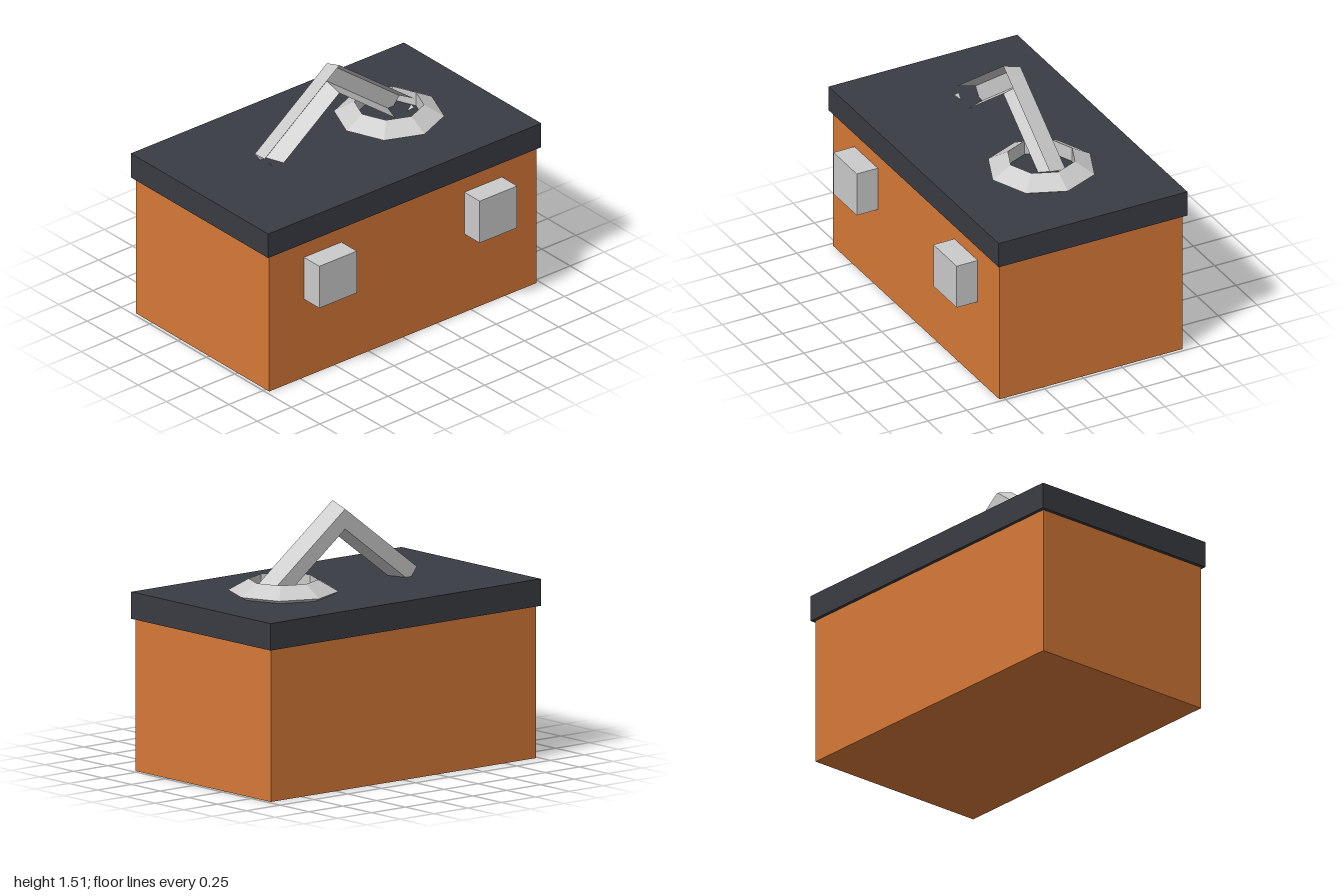
import * as THREE from 'three';

export function createModel() {
  const model = new THREE.Group();
  const wood = new THREE.MeshStandardMaterial({ color: 0xd77937, flatShading: true });
  const dark = new THREE.MeshStandardMaterial({ color: 0x393c43, flatShading: true });
  const metal = new THREE.MeshStandardMaterial({ color: 0xcccccc, flatShading: true });
  const sheet = new THREE.MeshStandardMaterial({ color: 0xcccccc, flatShading: true, side: THREE.DoubleSide });

  const add = (name, geometry, material) => {
    const mesh = new THREE.Mesh(geometry, material);
    mesh.name = name;
    model.add(mesh);
    return mesh;
  };
  const box = (name, material, [x0, y0, z0], [x1, y1, z1]) =>
    add(name, new THREE.BoxGeometry(x1 - x0, y1 - y0, z1 - z0), material)
      .position.set((x0 + x1) / 2, (y0 + y1) / 2, (z0 + z1) / 2);

  // Box body and overhanging lid
  box('body', wood, [-0.98, 0, -0.645], [0.98, 0.88, 0.53]);
  box('lid', dark, [-1, 0.875, -0.665], [1, 1.03, 0.545]);

  // Front latches
  box('leftLatch', metal, [0.45, 0.505, 0.52], [0.725, 0.775, 0.665]);
  box('rightLatch', metal, [-0.725, 0.505, 0.52], [-0.45, 0.775, 0.665]);

  // Eight-sided ring of triangular section lying on the lid
  const ring = add('ring', new THREE.TorusGeometry(0.2355, 0.077, 3, 8), metal);
  ring.rotation.x = -Math.PI / 2;
  ring.position.set(0.39, 1.05, -0.0615);

  // Peaked handle: a bent channel, open at the front.
  // Each section point is [drop below the ridge, z].
  const section = [[0, -0.03], [0.035, -0.14], [0.15, -0.14], [0.18, -0.03]];
  const stations = [-1, 0, 1].map((side) => section.map(([drop, z]) => side === 0
    ? [0, 1.515 - drop, z]
    : [side * (0.547 - 0.48 * drop), 1.105 - 0.64 * drop, z]));
  const points = [];
  for (let s = 0; s < 2; s++) {
    for (let i = 0; i < 3; i++) {
      const a = stations[s][i], b = stations[s + 1][i];
      const c = stations[s + 1][i + 1], d = stations[s][i + 1];
      points.push(...a, ...b, ...c, ...a, ...c, ...d);
    }
  }
  // Small pointed tabs at the two ends
  for (const side of [-1, 1]) {
    const tab = [[side * 0.525, 1.075, -0.03], [side * 0.52, 1.07, 0.003], [side * 0.495, 1.04, -0.03]];
    if (side > 0) tab.reverse();
    points.push(...tab.flat());
  }
  const handle = new THREE.BufferGeometry();
  handle.setAttribute('position', new THREE.Float32BufferAttribute(points, 3));
  handle.computeVertexNormals();
  add('handle', handle, sheet);

  return model;
}
